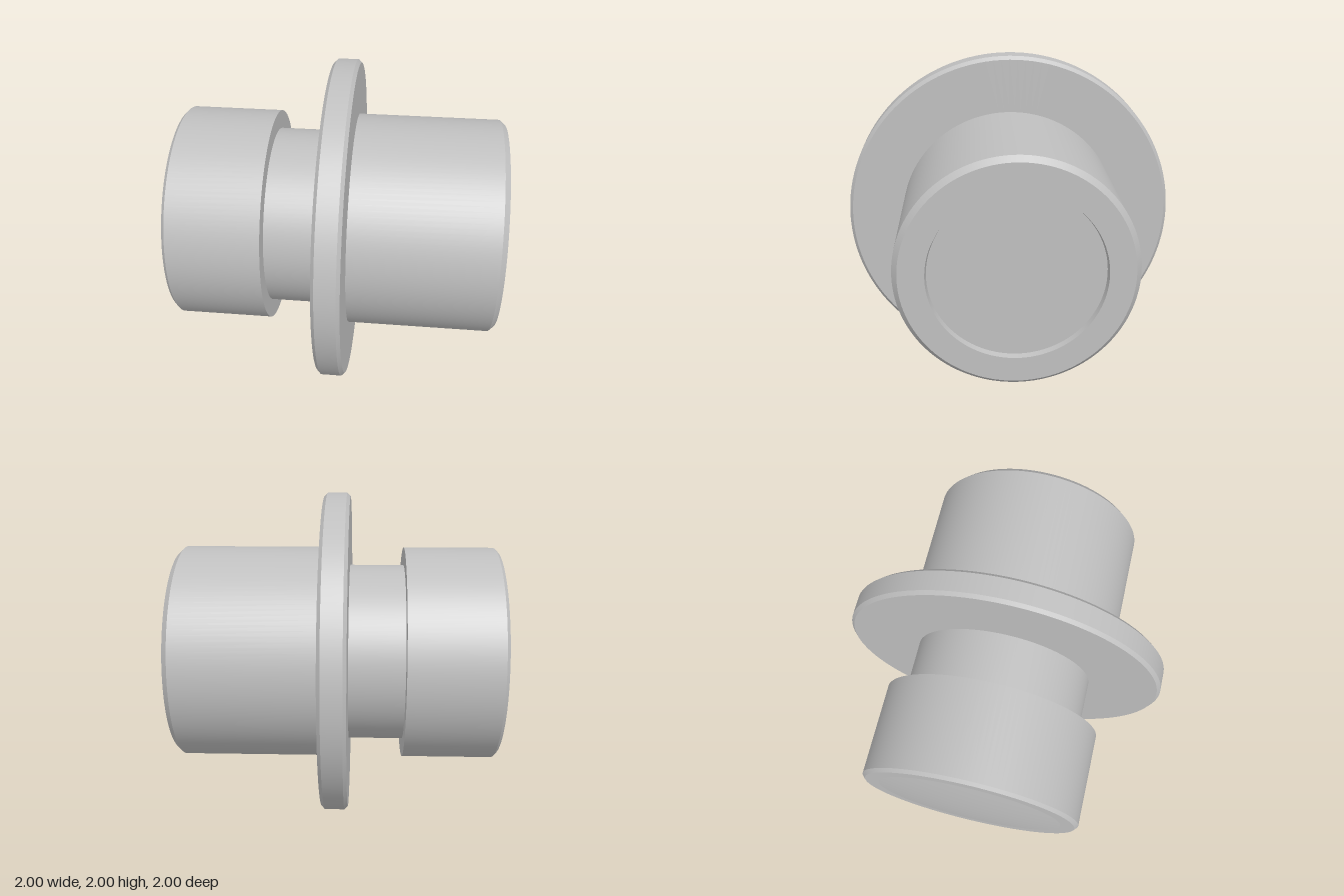
import * as THREE from 'three';

const SEGMENTS = 128;

export function createModel() {
  const group = new THREE.Group();
  const steel = new THREE.MeshStandardMaterial({ color: 0xbfbfbf });
  steel.name = 'steel grey';

  // Revolves a profile of [x, radius] points, ordered from -x to +x, about the x axis.
  // Each straight run is its own band so that edges stay sharp.
  function turn(name, profile) {
    const part = new THREE.Group();
    part.name = name;
    for (let i = 0; i < profile.length - 1; i++) {
      const points = [profile[i], profile[i + 1]].map(([x, r]) => new THREE.Vector2(r, x));
      addLathe(part, name + 'Face' + (i + 1), points);
    }
    group.add(part);
    return part;
  }

  function addLathe(parent, name, points) {
    const geometry = new THREE.LatheGeometry(points, SEGMENTS);
    geometry.rotateZ(-Math.PI / 2);
    geometry.translate(0, 1, 0);
    const mesh = new THREE.Mesh(geometry, steel);
    mesh.name = name;
    parent.add(mesh);
  }

  // Head with chamfered outer edge
  const head = turn('head', [
    [-0.972, 0.56], [-0.972, 0.645], [-0.952, 0.665], [-0.395, 0.665], [-0.395, 0.553],
  ]);

  // Shallow dome on the head's end
  const sag = 0.028, rim = 0.56;
  const sphere = (rim * rim + sag * sag) / (2 * sag);
  const dome = [];
  for (let i = 0; i <= 12; i++) {
    const a = Math.asin(rim / sphere) * i / 12;
    dome.push(new THREE.Vector2(sphere * Math.sin(a), -1 + sphere * (1 - Math.cos(a))));
  }
  addLathe(head, 'dome', dome);

  // Neck between head and flange
  turn('neck', [[-0.395, 0.553], [-0.06, 0.553]]);

  // Flange with both rims chamfered
  turn('flange', [
    [-0.06, 0.553], [-0.06, 0.98], [-0.04, 1], [0.08, 1], [0.1, 0.98], [0.1, 0.665],
  ]);

  // Barrel with chamfered end and shallow round recess
  turn('barrel', [
    [0.1, 0.665], [0.967, 0.665], [1, 0.635], [1, 0.49], [0.965, 0.483], [0.965, 0],
  ]);

  return group;
}
